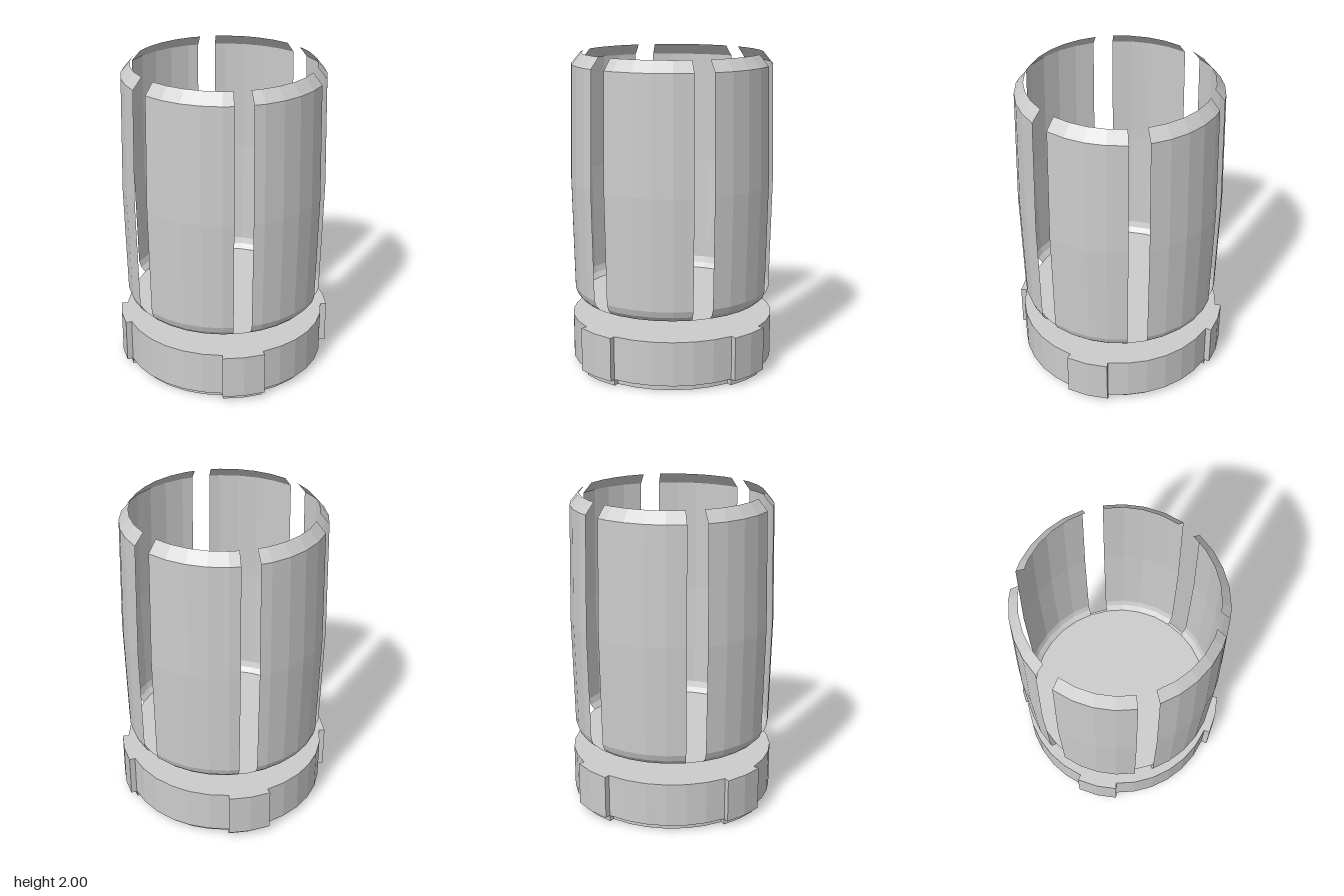
import * as THREE from 'three';

const STEP = Math.PI / 16; // everything sits on a 32-sided circle
const solid = new THREE.MeshStandardMaterial({ color: 0xcccccc, flatShading: true });
const sheet = new THREE.MeshStandardMaterial({ color: 0xcccccc, flatShading: true, side: THREE.DoubleSide });

// Barrel-shaped wall profile, bottom to top (radius, height)
const wall = [[0.588, 0.435], [0.617, 0.465], [0.631, 0.505], [0.645, 1.2], [0.629, 1.93], [0.57, 2]]
  .map(([r, y]) => new THREE.Vector2(r, y));

function add(parent, name, geometry, material) {
  const mesh = new THREE.Mesh(geometry, material);
  mesh.name = name;
  parent.add(mesh);
  return mesh;
}

// Solid ring plate with four radial lugs, each two sides wide
function luggedDisc(rootRadius, lugRadius, height) {
  const pts = [];
  const put = (r, i) => pts.push(new THREE.Vector2(r * Math.cos(i * STEP), r * Math.sin(i * STEP)));
  for (let q = 0; q < 4; q++) {
    const c = q * 8;
    put(rootRadius, c - 1);
    for (let i = -1; i <= 1; i++) put(lugRadius, c + i);
    for (let i = 1; i < 7; i++) put(rootRadius, c + i);
  }
  const geo = new THREE.ExtrudeGeometry(new THREE.Shape(pts), { depth: height, bevelEnabled: false });
  return geo.rotateX(-Math.PI / 2);
}

// Wide panel: five sides, with the edge beside the front/back slot trimmed inward
function widePanelGeometry() {
  const geo = new THREE.LatheGeometry(wall, 5, 0, 5 * STEP);
  const p = geo.attributes.position;
  const n = wall.length;
  const a = new THREE.Vector3(), b = new THREE.Vector3();
  for (let j = 0; j < n; j++) {
    a.fromBufferAttribute(p, j).lerp(b.fromBufferAttribute(p, n + j), 0.46);
    p.setXYZ(j, a.x, a.y, a.z);
  }
  geo.computeVertexNormals();
  return geo;
}

export function createModel() {
  const model = new THREE.Group();
  model.name = 'slottedCanister';

  // Base: small foot plate under a larger lugged collar
  add(model, 'footPlate', luggedDisc(0.61, 0.645, 0.04), solid);
  add(model, 'collar', luggedDisc(0.647, 0.685, 0.28), solid).position.y = 0.04;

  // Thin cup floor at the bottom of the wall panels
  const floor = new THREE.CircleGeometry(wall[0].x, 32).rotateX(-Math.PI / 2);
  add(model, 'cupFloor', floor, sheet).position.y = wall[0].y;

  // Six wall panels: four wide ones mirrored, two narrow ones at the sides
  const panels = new THREE.Group();
  panels.name = 'wallPanels';
  model.add(panels);
  const wide = widePanelGeometry();
  const narrow = new THREE.LatheGeometry(wall, 4, 6 * STEP, 4 * STEP);
  for (const [sx, side] of [[1, 'left'], [-1, 'right']]) {
    for (const [sz, end] of [[1, 'Front'], [-1, 'Back']]) {
      add(panels, side + end + 'Panel', wide, sheet).scale.set(sx, 1, sz);
    }
    add(panels, side + 'Panel', narrow, sheet).scale.x = sx;
  }
  return model;
}
